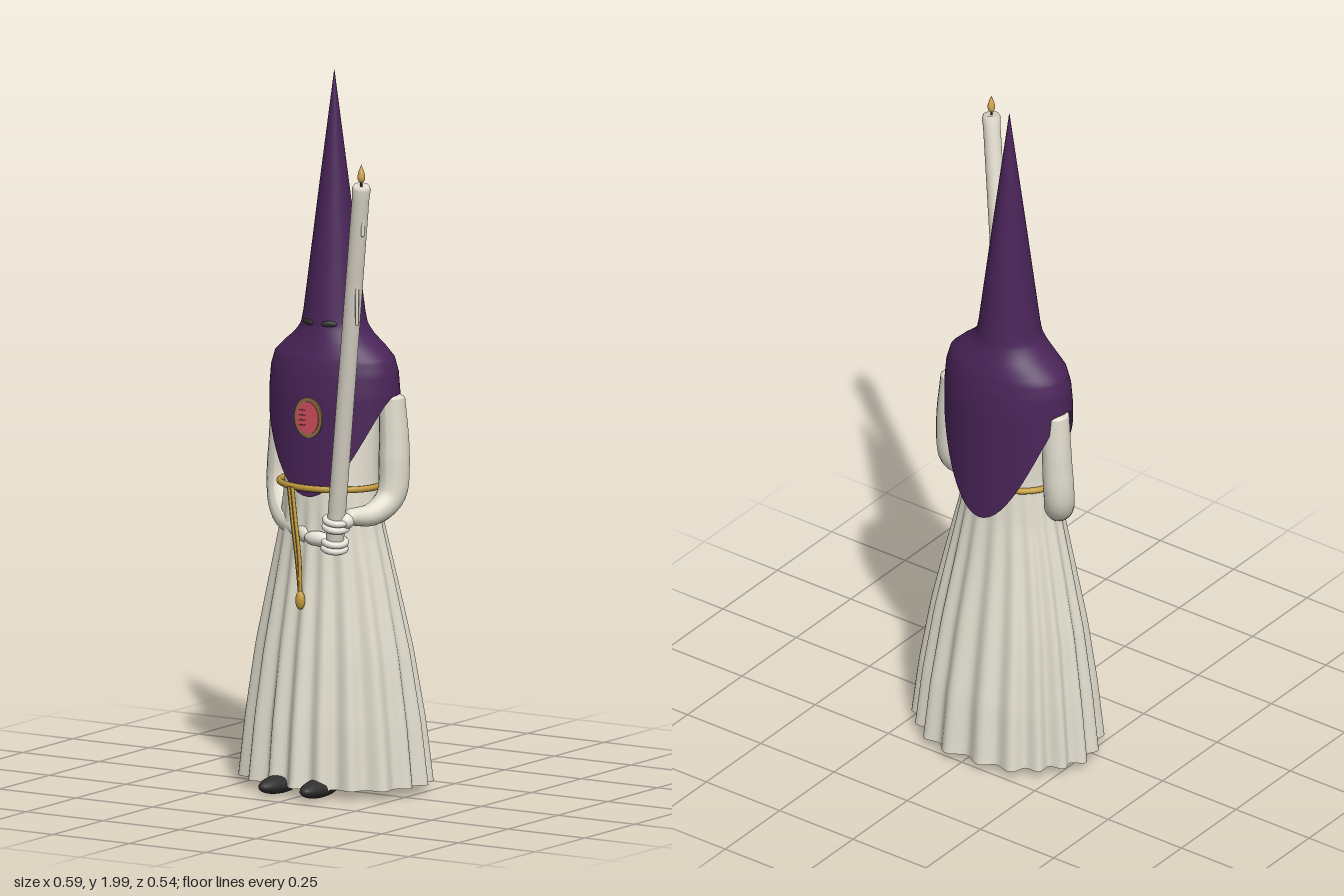
import * as THREE from 'three';

const mat = (name, color, double = false) => {
  const m = new THREE.MeshStandardMaterial({ color });
  m.name = name;
  if (double) m.side = THREE.DoubleSide;
  return m;
};

// Closed loft: f(angle, v) gives a point; angle 0 faces front, v runs downwards
function loft(f, nu, nv) {
  const pos = [], idx = [];
  for (let j = 0; j <= nv; j++)
    for (let i = 0; i < nu; i++) pos.push(...f((i / nu) * Math.PI * 2, j / nv));
  for (let j = 0; j < nv; j++)
    for (let i = 0; i < nu; i++) {
      const k = (i + 1) % nu, a = j * nu + i, b = j * nu + k, c = a + nu, d = b + nu;
      idx.push(a, c, b, b, c, d);
    }
  const g = new THREE.BufferGeometry();
  g.setAttribute('position', new THREE.Float32BufferAttribute(pos, 3));
  g.setIndex(idx);
  g.computeVertexNormals();
  return g;
}

// Interpolates rows of [y, rx, rz, cz] at a height
function section(rows, y) {
  for (let i = 0; i < rows.length - 1; i++) {
    const p = rows[i], q = rows[i + 1];
    if (y >= q[0]) {
      const t = Math.max(0, (p[0] - y) / (p[0] - q[0]));
      return p.map((n, k) => n + (q[k] - n) * t);
    }
  }
  return rows[rows.length - 1];
}

// Tube whose radius follows a list of values
function limb(points, radii, n = 28, sides = 18) {
  const curve = new THREE.CatmullRomCurve3(points.map(p => new THREE.Vector3(...p)));
  const g = new THREE.TubeGeometry(curve, n, 1, sides);
  const p = g.attributes.position, v = new THREE.Vector3();
  for (let i = 0; i < p.count; i++) {
    const t = Math.floor(i / (sides + 1)) / n, c = curve.getPointAt(t);
    const s = t * (radii.length - 1), k = Math.min(Math.floor(s), radii.length - 2);
    const r = THREE.MathUtils.lerp(radii[k], radii[k + 1], s - k);
    v.fromBufferAttribute(p, i).sub(c).multiplyScalar(r).add(c);
    p.setXYZ(i, v.x, v.y, v.z);
  }
  g.computeVertexNormals();
  return g;
}

export function createModel() {
  const root = new THREE.Group();
  root.name = 'hoodedFigure';
  const purple = mat('purple cloth', 0x4a2459, true);
  const cream = mat('cream cloth', 0xe0dccd, true);
  const glove = mat('white glove', 0xe9e6de);
  const wax = mat('candle wax', 0xe3ddd0);
  const gold = mat('gold cord', 0xc39b3c);
  const flame = mat('flame', 0xd2a555);
  const black = mat('black', 0x303030);
  const red = mat('badge red', 0xd24f5e);
  const darkRed = mat('badge dark red', 0x7a2a33);
  const rim = mat('badge rim', 0x8d6f45);

  const add = (name, geo, m, parent = root) => {
    const mesh = new THREE.Mesh(geo, m);
    mesh.name = name;
    parent.add(mesh);
    return mesh;
  };
  const ball = (name, m, p, s, parent = root) => {
    const b = add(name, new THREE.SphereGeometry(1, 24, 16), m, parent);
    b.position.set(...p);
    b.scale.set(...s);
    return b;
  };
  const CX = -0.012;

  // Robe: torso and pleated skirt, open at the hem
  const robe = [
    [1.2, 0.1, 0.06, -0.05], [1.1, 0.135, 0.09, -0.05], [0.86, 0.138, 0.108, -0.035],
    [0.74, 0.152, 0.115, -0.037], [0.6, 0.184, 0.132, -0.041], [0.4, 0.226, 0.164, -0.046],
    [0.2, 0.255, 0.192, -0.051], [0.03, 0.273, 0.207, -0.053]];
  add('robe', loft((a, v) => {
    const y = 1.2 - 1.17 * v, [, rx, rz, cz] = section(robe, y);
    const k = Math.max(0, (0.85 - y) / 0.82);
    const fold = 0.012 * Math.pow(k, 0.8) * Math.cos(19 * a + 0.9 * Math.sin(3 * a))
      + 0.004 * k * Math.sin(7 * a + 1);
    return [CX + Math.sin(a) * (rx + fold), y, cz + Math.cos(a) * (rz + fold)];
  }, 190, 40), cream);

  // Pointed hood with a cape hanging front and back
  const hood = [
    [2, 0.0005, 0.0005, -0.047], [1.66, 0.044, 0.044, -0.047], [1.33, 0.085, 0.085, -0.047],
    [1.295, 0.093, 0.089, -0.047], [1.268, 0.115, 0.096, -0.048], [1.24, 0.15, 0.105, -0.05],
    [1.21, 0.181, 0.115, -0.05], [1.17, 0.193, 0.123, -0.05], [1.11, 0.197, 0.13, -0.05],
    [0.77, 0.196, 0.138, -0.05]];
  add('hood', loft((a, v) => {
    const c = Math.cos(a), hem = 1.11 - (c > 0 ? 0.28 : 0.34) * c * c;
    const y = v < 0.3 ? 2 - (v / 0.3) * 0.67
      : v < 0.7 ? 1.33 - ((v - 0.3) / 0.4) * 0.2
        : 1.13 - ((v - 0.7) / 0.3) * (1.13 - hem);
    const [, rx, rz, cz] = section(hood, y);
    return [CX + Math.sin(a) * rx, y, cz + c * rz];
  }, 72, 50), purple);

  // Eye holes
  for (const s of [-1, 1]) {
    const eye = ball('eye', black, [CX + s * 0.034, 1.306, 0.032], [0.023, 0.009, 0.006]);
    eye.rotation.y = s * 0.38;
  }

  // Oval badge on the chest
  const badge = new THREE.Group();
  badge.name = 'badge';
  badge.position.set(CX, 1.05, 0.083);
  root.add(badge);
  const disc = (name, r, z, m) => {
    const d = add(name, new THREE.CylinderGeometry(r, r, 0.006, 36), m, badge);
    d.rotation.x = Math.PI / 2;
    d.scale.z = 1.25;
    d.position.z = z;
  };
  disc('badgeRim', 0.045, 0, rim);
  disc('badgeFace', 0.036, 0.003, red);
  for (let i = 0; i < 4; i++) {
    const bar = add('badgeStripe', new THREE.BoxGeometry(0.022, 0.004, 0.003), darkRed, badge);
    bar.position.set(-0.016, -0.021 + i * 0.014, 0.006);
  }

  // Belt with hanging cord and tassel
  const belt = add('belt', new THREE.TorusGeometry(1, 0.06, 10, 64), gold);
  belt.rotation.x = Math.PI / 2;
  belt.scale.set(0.148, 0.122, 0.15);
  belt.position.set(CX, 0.855, -0.029);
  for (const s of [-1, 1])
    add('cord', limb([[-0.062 + s * 0.005, 0.855, 0.096], [-0.048 + s * 0.005, 0.76, 0.1],
      [-0.033 + s * 0.004, 0.66, 0.103], [-0.022, 0.56, 0.109]], [0.006, 0.006], 16, 8), gold);
  ball('tassel', gold, [-0.02, 0.545, 0.112], [0.014, 0.026, 0.012]);

  // Sleeves, each bent at the elbow
  const sleeves = {
    left: [[0.165, 1.1, -0.065], [0.172, 0.95, -0.065], [0.17, 0.83, -0.05], [0.15, 0.787, 0.01], [0.122, 0.785, 0.07]],
    right: [[-0.185, 1.1, -0.065], [-0.191, 0.95, -0.068], [-0.188, 0.82, -0.055], [-0.14, 0.755, 0], [-0.03, 0.722, 0.066]]
  };
  for (const [side, pts] of Object.entries(sleeves)) {
    add(side + 'Sleeve', limb(pts, [0.036, 0.04, 0.043, 0.042, 0.034, 0.024]), cream);
    ball(side + 'Shoulder', cream, pts[0], [0.036, 0.012, 0.036]);
    ball(side + 'Cuff', cream, pts[4], [0.024, 0.024, 0.024]);
  }
  ball('leftHand', glove, [0.115, 0.776, 0.09], [0.024, 0.022, 0.024]);
  ball('rightHand', glove, [0.02, 0.717, 0.086], [0.042, 0.021, 0.02]);

  // Leaning candle, gripped by curled fingers
  const base = new THREE.Vector3(0.075, 0.69, 0.088);
  const top = new THREE.Vector3(0.268, 1.75, 0.246);
  const dir = top.clone().sub(base), len = dir.length();
  const candle = new THREE.Group();
  candle.name = 'candle';
  candle.position.copy(base);
  candle.quaternion.setFromUnitVectors(new THREE.Vector3(0, 1, 0), dir.normalize());
  root.add(candle);
  add('candleStick', new THREE.LatheGeometry([[0, 0], [0.023, 0], [0.025, 0.01], [0.024, len - 0.04],
    [0.026, len - 0.01], [0.021, len], [0, len - 0.004]].map(p => new THREE.Vector2(...p)), 28), wax, candle);
  for (const h of [0.008, 0.027, 0.07, 0.09]) {
    const finger = add('finger', new THREE.TorusGeometry(0.03, 0.0095, 10, 24, Math.PI * 1.5), glove, candle);
    finger.rotation.set(Math.PI / 2, 0, h < 0.05 ? Math.PI * 1.25 : -0.6);
    finger.position.y = h;
  }

  // Wax drips
  for (const [x, y, z, h] of [[0.232, 1.44, 0.214, 0.17], [0.268, 1.655, 0.24, 0.09], [0.238, 1.65, 0.238, 0.08]]) {
    const drip = add('waxDrip', new THREE.CapsuleGeometry(0.005, h, 4, 10), wax);
    drip.position.set(x, y, z);
  }

  // Wick and flame
  const wick = add('wick', new THREE.CylinderGeometry(0.003, 0.003, 0.02, 8), black);
  wick.position.set(0.267, 1.754, 0.246);
  const flameShape = [[0, 0], [0.008, 0.006], [0.0105, 0.018], [0.007, 0.034], [0, 0.052]];
  const fire = add('flame', new THREE.LatheGeometry(
    new THREE.SplineCurve(flameShape.map(p => new THREE.Vector2(...p))).getPoints(16), 18), flame);
  fire.position.set(0.267, 1.756, 0.246);

  // Shoes
  for (const s of [-1, 1])
    ball('shoe', black, [CX + s * 0.064, 0.032, 0.125], [0.035, 0.026, 0.092]).rotation.y = s * 0.05;

  // Rest the soles on the ground
  const low = new THREE.Box3().setFromObject(root).min.y;
  for (const c of root.children) c.position.y -= low;
  return root;
}
